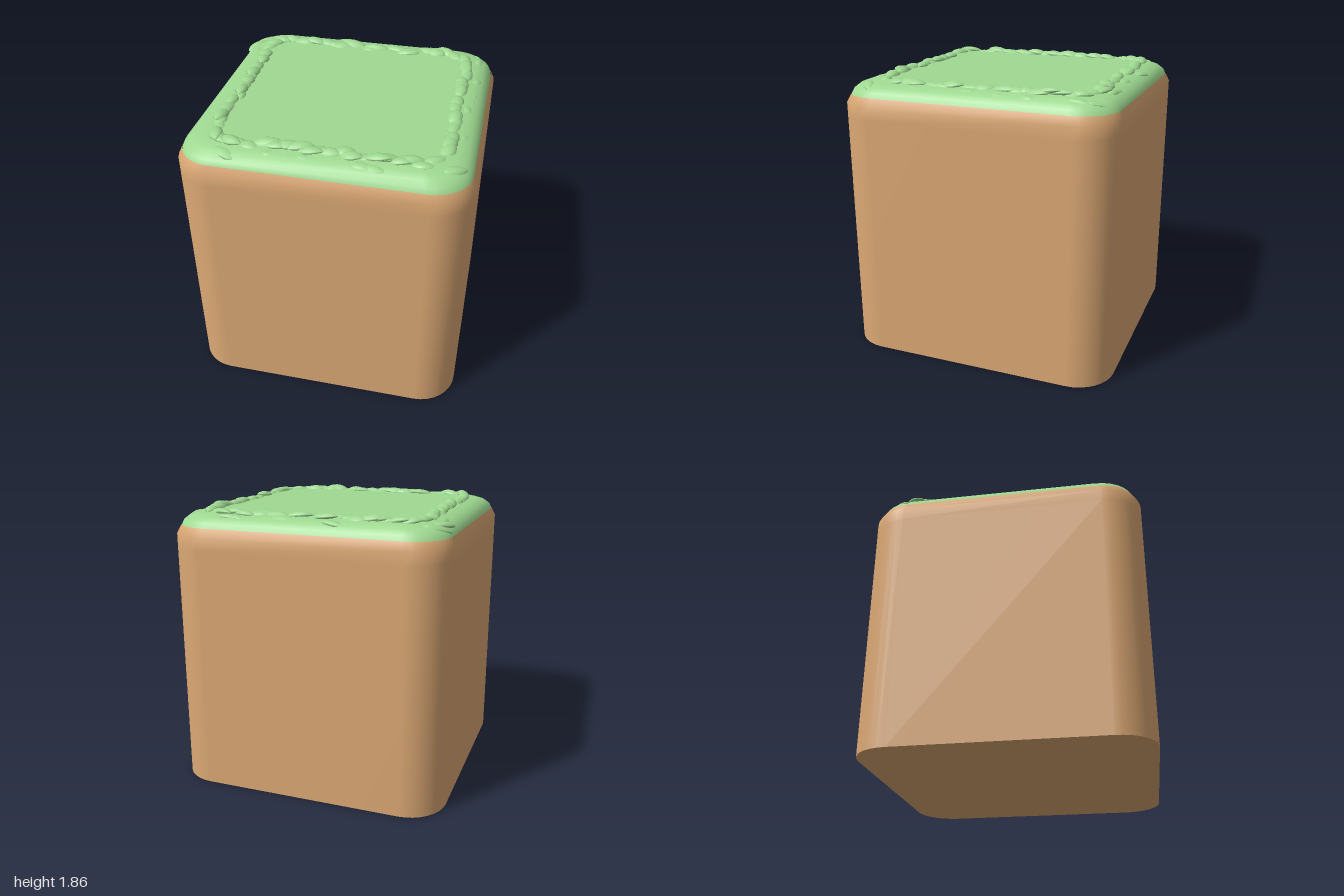
import * as THREE from 'three';

const CORNER_STEPS = 8;

// Points [x, z] around a rounded square, counter-clockwise seen from above
function roundedSquare(half, radius) {
  const points = [];
  for (let c = 0; c < 4; c++) {
    const mid = Math.PI / 4 + c * Math.PI / 2;
    const cx = Math.sign(Math.cos(mid)) * (half - radius);
    const cy = Math.sign(Math.sin(mid)) * (half - radius);
    for (let i = 0; i <= CORNER_STEPS; i++) {
      const a = (c + i / CORNER_STEPS) * Math.PI / 2;
      points.push([cx + radius * Math.cos(a), -(cy + radius * Math.sin(a))]);
    }
  }
  return points;
}

// Skin through rounded squares given as [half, radius, y] from bottom to top
function loft(sections) {
  const positions = [], index = [];
  const n = 4 * (CORNER_STEPS + 1);
  for (const [half, radius, y] of sections) {
    for (const [x, z] of roundedSquare(half, radius)) positions.push(x, y, z);
  }
  for (let s = 0; s < sections.length - 1; s++) {
    for (let j = 0; j < n; j++) {
      const a = s * n + j, b = s * n + (j + 1) % n;
      index.push(a, b, b + n, a, b + n, a + n);
    }
  }
  const geometry = new THREE.BufferGeometry();
  geometry.setAttribute('position', new THREE.Float32BufferAttribute(positions, 3));
  geometry.setIndex(index);
  geometry.computeVertexNormals();
  return geometry;
}

// Flat rounded square facing up or down
function plate(half, radius, y, up) {
  const shape = new THREE.Shape(roundedSquare(half, radius).map(([x, z]) => new THREE.Vector2(x, -z)));
  const geometry = new THREE.ShapeGeometry(shape).rotateX(-Math.PI / 2);
  if (!up) geometry.rotateX(Math.PI);
  return geometry.translate(0, y, 0);
}

// Pointed, flattened leaf growing from the origin along +z, one unit long
function leafGeometry() {
  const profile = [[0, 0], [0.13, 0.05], [0.2, 0.2], [0.235, 0.42], [0.22, 0.62], [0.16, 0.8], [0.08, 0.93], [0, 1]]
    .map(([r, h]) => new THREE.Vector2(r, h));
  const geometry = new THREE.LatheGeometry(profile, 10).rotateX(Math.PI / 2).scale(1, 0.5, 1);
  // Bow the leaf so that its sides and tip curl down
  const p = geometry.attributes.position;
  for (let i = 0; i < p.count; i++) {
    const x = p.getX(i), z = p.getZ(i);
    p.setY(i, p.getY(i) - 0.9 * x * x - 0.2 * (z - 0.4) ** 2);
  }
  geometry.computeVertexNormals();
  return geometry;
}

function seededRandom(seed) {
  return () => {
    seed = (seed * 16807) % 2147483647;
    return seed / 2147483647;
  };
}

export function createModel() {
  const model = new THREE.Group();
  model.name = 'grassBlock';
  const earth = new THREE.MeshStandardMaterial({ color: 0xdba874 });
  const grass = new THREE.MeshStandardMaterial({ color: 0x9fd991 });
  const add = (name, geometry, material, parent = model) => {
    const mesh = new THREE.Mesh(geometry, material);
    mesh.name = name;
    parent.add(mesh);
    return mesh;
  };

  // Earth block with a softened upper edge
  add('earthSides', loft([
    [0.915, 0.25, 0], [0.915, 0.25, 1.6], [0.915, 0.25, 1.68], [0.89, 0.24, 1.735],
  ]), earth);
  add('earthBottom', plate(0.915, 0.25, 0, false), earth);

  // Grass cap rounding over to the flat top
  add('grassEdge', loft([
    [0.89, 0.24, 1.73], [0.875, 0.235, 1.765], [0.84, 0.22, 1.795], [0.79, 0.2, 1.813], [0.73, 0.18, 1.82],
  ]), grass);
  add('grassTop', plate(0.73, 0.18, 1.82, true), grass);

  // Two rows of leaves around the edge: one drooping outside, one lifted inside
  const leaf = leafGeometry();
  const random = seededRandom(77);
  const vary = (amount) => (random() * 2 - 1) * amount;
  const rows = [
    { name: 'outerLeaf', half: 0.78, radius: 0.16, y: 1.80, pitch: 0.16, length: 0.185, count: 88 },
    { name: 'innerLeaf', half: 0.71, radius: 0.16, y: 1.815, pitch: -0.08, length: 0.165, count: 80 },
  ];
  for (const row of rows) {
    const group = new THREE.Group();
    group.name = row.name + 'Row';
    model.add(group);
    const path = new THREE.Path(roundedSquare(row.half, row.radius).map(([x, z]) => new THREE.Vector2(x, z)));
    path.closePath();
    for (let i = 0; i < row.count; i++) {
      const u = (i + 0.5 + vary(0.2)) / row.count;
      const p = path.getPointAt(u);
      // Blend neighbouring directions so leaves fan smoothly round the corners
      const t = path.getTangentAt((u + 0.985) % 1).add(path.getTangentAt(u)).add(path.getTangentAt((u + 0.015) % 1));
      const mesh = add(row.name, leaf, grass, group);
      mesh.position.set(p.x, row.y + vary(0.008), p.y);
      mesh.rotation.set(row.pitch + vary(0.12), Math.atan2(-t.y, t.x) + Math.PI / 2 + vary(0.22), vary(0.25), 'YXZ');
      const length = row.length + vary(0.022);
      mesh.scale.set(0.2 + vary(0.02), 0.17, length);
    }
  }
  return model;
}
